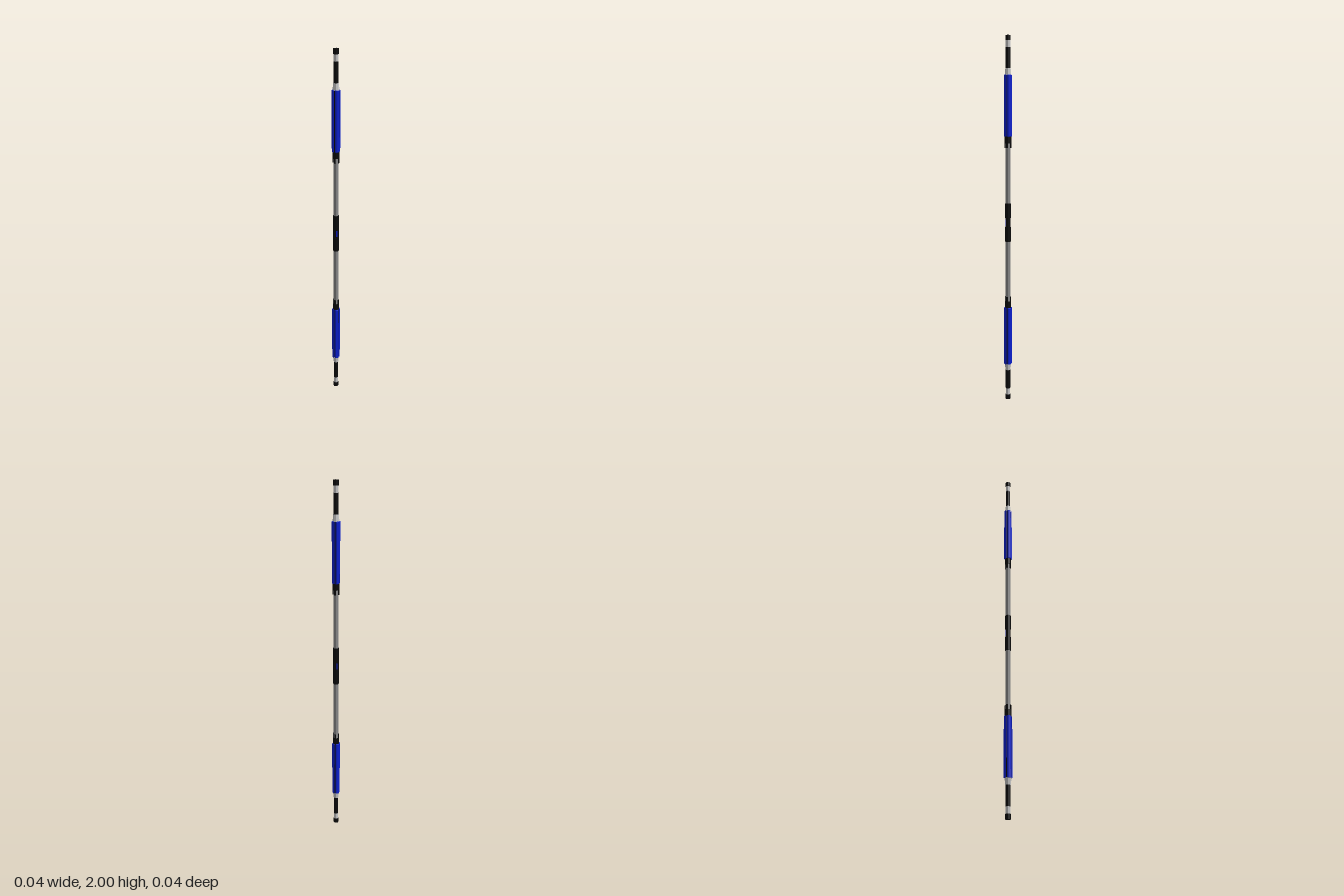
import * as THREE from 'three';

function material(name, color) {
  const m = new THREE.MeshStandardMaterial({ color });
  m.name = name;
  m.flatShading = true;
  return m;
}

export function createModel() {
  const black = material('black', 0x0b0b0b);
  const blue = material('blue', 0x0a1fd2);
  const grey = material('rodGrey', 0x8c8c8c);
  const silver = material('silver', 0xcccccc);
  const staff = new THREE.Group();
  staff.name = 'staff';

  // Octagonal section between two heights, flats facing the axes (r = distance to a flat)
  const section = (parent, name, mat, y0, y1, r0, r1 = r0) => {
    const k = 1 / Math.cos(Math.PI / 8);
    const g = new THREE.CylinderGeometry(r1 * k, r0 * k, y1 - y0, 8);
    g.rotateY(Math.PI / 8).translate(0, (y0 + y1) / 2, 0);
    const mesh = new THREE.Mesh(g, mat);
    mesh.name = name;
    parent.add(mesh);
  };

  // Chamfered strip profile, facing +z once laid upright
  const strip = new THREE.Shape([
    [-0.0105, 0.014], [0.0105, 0.014], [0.0105, 0.0165],
    [0.006, 0.0212], [-0.006, 0.0212], [-0.0105, 0.0165],
  ].map(([x, y]) => new THREE.Vector2(x, y)));
  const bladeGeo = new THREE.ExtrudeGeometry(strip, {
    depth: 0.322, bevelEnabled: true, bevelSize: 0.0015,
    bevelThickness: 0.0015, bevelOffset: -0.0015, bevelSegments: 1,
  });
  bladeGeo.rotateX(-Math.PI / 2).translate(0, 0.4715, 0);
  const fingerGeo = new THREE.BoxGeometry(0.009, 0.034, 0.006).translate(0, 0.426, 0.0145);

  // One half, heights measured from the staff's middle
  const makeHalf = (name) => {
    const half = new THREE.Group();
    half.name = name;
    section(half, 'rod', grey, 0.1, 0.45, 0.0125);
    section(half, 'collar', black, 0.435, 0.472, 0.0165);
    section(half, 'bladeCore', black, 0.472, 0.793, 0.0155);
    section(half, 'silverCollar', silver, 0.793, 0.83, 0.0165, 0.0128);
    section(half, 'emitter', black, 0.825, 0.937, 0.012);
    section(half, 'silverBand', silver, 0.937, 0.973, 0.0115);
    section(half, 'tipCap', black, 0.973, 1, 0.0132);
    for (let i = 0; i < 4; i++) {
      const blade = new THREE.Mesh(bladeGeo, blue);
      blade.name = 'bluePlate';
      blade.rotation.y = i * Math.PI / 2;
      const finger = new THREE.Mesh(fingerGeo, black);
      finger.name = 'collarFinger';
      finger.rotation.y = Math.PI / 4 + i * Math.PI / 2;
      half.add(blade, finger);
    }
    half.position.y = 1;
    staff.add(half);
    return half;
  };
  makeHalf('upperHalf');
  makeHalf('lowerHalf').rotation.x = Math.PI;

  // Centre grip with a recessed middle
  section(staff, 'gripLower', black, 0.9, 0.98, 0.0152);
  section(staff, 'gripUpper', black, 1.03, 1.11, 0.0152);
  section(staff, 'gripMiddle', black, 0.98, 1.03, 0.0125);
  for (const s of [-1, 1]) {
    const side = new THREE.Mesh(new THREE.BoxGeometry(0.004, 0.05, 0.012), black);
    side.name = 'gripSide';
    side.position.set(s * 0.0132, 1.005, 0);
    const button = new THREE.Mesh(new THREE.BoxGeometry(0.006, 0.034, 0.002), blue);
    button.name = 'button';
    button.position.set(0, 1.005, s * 0.0128);
    staff.add(side, button);
  }
  return staff;
}
